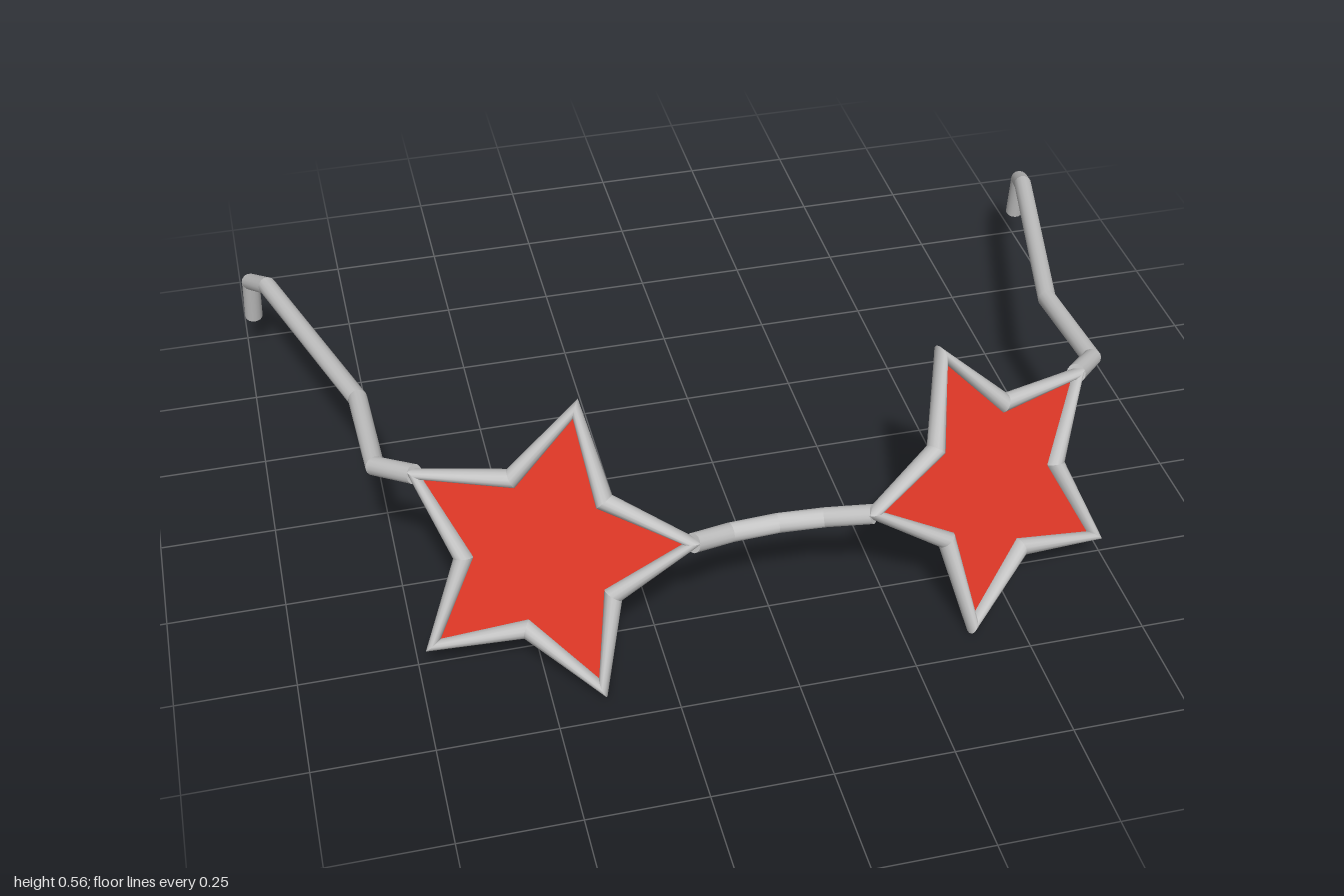
import * as THREE from 'three';

const RADIUS = 0.021;
const SIDES = 14;
const V = (x, y, z) => new THREE.Vector3(x, y, z);

function geometryFrom(positions, indices) {
  const g = new THREE.BufferGeometry();
  g.setAttribute('position', new THREE.Float32BufferAttribute(positions, 3));
  g.setIndex(indices);
  g.computeVertexNormals();
  return g;
}

// Round wire along a polyline: smooth around, creased at every bend.
function wire(points, ref, closed = false) {
  const n = points.length;
  const at = (i) => points[(i + n) % n];
  const rings = points.map((p, i) => {
    const t = V(0, 0, 0);
    if (closed || i > 0) t.add(p.clone().sub(at(i - 1)).normalize());
    if (closed || i < n - 1) t.add(at(i + 1).clone().sub(p).normalize());
    t.normalize();
    const a = ref.clone().addScaledVector(t, -ref.dot(t)).normalize();
    const b = t.clone().cross(a);
    return Array.from({ length: SIDES }, (_, k) => {
      const w = (k / SIDES) * Math.PI * 2;
      return p.clone().addScaledVector(a, RADIUS * Math.cos(w)).addScaledVector(b, RADIUS * Math.sin(w));
    });
  });
  const pos = [], idx = [];
  const push = (ring) => ring.forEach((p) => pos.push(p.x, p.y, p.z));
  for (let i = 0; i < (closed ? n : n - 1); i++) {
    const s = pos.length / 3;
    push(rings[i]);
    push(rings[(i + 1) % n]);
    for (let k = 0; k < SIDES; k++) {
      const a = s + k, b = s + ((k + 1) % SIDES);
      idx.push(a, b, b + SIDES, a, b + SIDES, a + SIDES);
    }
  }
  if (!closed) {
    // flat end caps
    [[...rings[0]].reverse(), rings[n - 1]].forEach((ring) => {
      const s = pos.length / 3;
      push(ring);
      for (let k = 1; k < SIDES - 1; k++) idx.push(s, s + k, s + k + 1);
    });
  }
  return geometryFrom(pos, idx);
}

// Flat star fanned out from its centre.
function starPlate(centre, points) {
  const idx = points.map((_, i) => [0, i + 1, ((i + 1) % points.length) + 1]).flat();
  return geometryFrom([centre, ...points].flatMap((p) => p.toArray()), idx);
}

export function createModel() {
  const group = new THREE.Group();
  const metal = new THREE.MeshStandardMaterial({ color: 0xc4c4c4 });
  metal.name = 'silverMetal';
  const red = new THREE.MeshStandardMaterial({ color: 0xdb3626, side: THREE.DoubleSide });
  red.name = 'redLens';
  const add = (name, geometry, material) => {
    const mesh = new THREE.Mesh(geometry, material);
    mesh.name = name;
    group.add(mesh);
  };

  // Lens plane: leaning back at the top and wrapping back at the sides
  const normal = V(0.304, 0.44, 0.845).normalize();
  const inward = V(-0.952, 0.121, 0.28).normalize();
  const down = normal.clone().cross(inward);
  const centre = V(0.479, 0.268, 0.517);
  const star = Array.from({ length: 10 }, (_, i) => {
    const w = (i * Math.PI) / 5, r = i % 2 ? 0.165 : 0.305;
    return centre.clone().addScaledVector(inward, r * Math.cos(w)).addScaledVector(down, r * Math.sin(w));
  });

  // Ear piece, from the upper outer star tip to the hook behind the ear
  const temple = [
    star[6].clone(), V(0.782, 0.365, 0.28), V(0.787, 0.332, 0),
    V(0.938, 0.276, -0.56), V(0.974, 0.22, -0.67), V(0.978, 0.105, -0.695),
  ];

  for (const [side, s] of [['left', 1], ['right', -1]]) {
    const flip = (p) => V(p.x * s, p.y, p.z);
    const points = star.map(flip);
    if (s < 0) points.reverse();
    add(side + 'StarFrame', wire(points, flip(normal), true), metal);
    add(side + 'Lens', starPlate(flip(centre), points), red);
    add(side + 'Temple', wire(temple.map(flip), V(1, 0, 0)), metal);
  }

  // Nose bridge between the inner star tips
  const tip = star[0];
  add('bridge', wire([
    V(-tip.x, tip.y, tip.z), V(-0.1, 0.273, 0.553), V(0, 0.278, 0.553),
    V(0.1, 0.273, 0.553), tip.clone(),
  ], V(0, 1, 0)), metal);

  return group;
}
